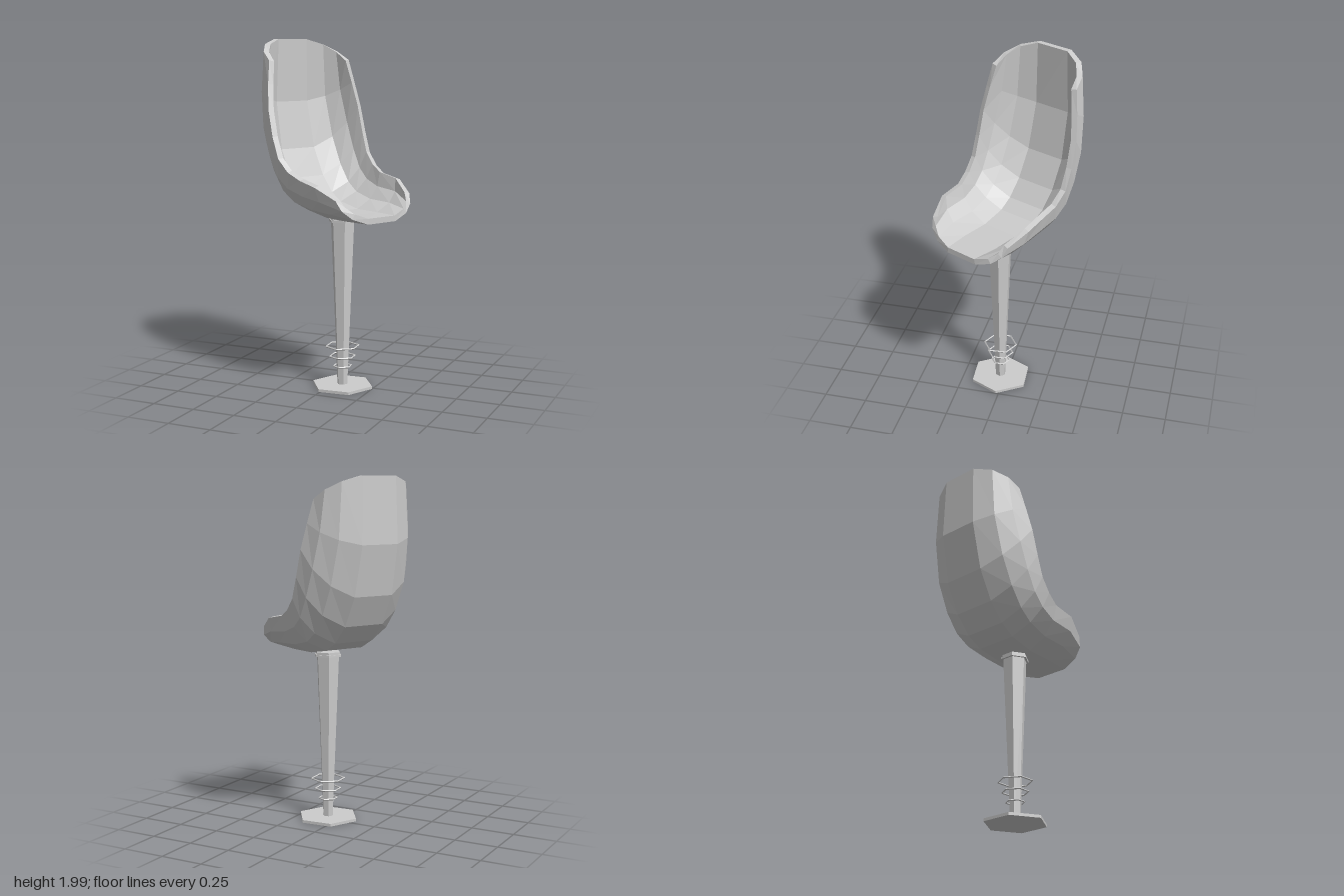
import * as THREE from 'three';

const material = new THREE.MeshStandardMaterial({ color: 0xcccccc, flatShading: true });

// Stations from front lip to top of back: spine z, spine y, rim half width, rim z, rim y
const STATIONS = [
  [0.335, 0.987, 0.272, 0.26, 1.13],
  [0.17, 0.982, 0.316, 0.135, 1.195],
  [0.0, 0.982, 0.312, 0.003, 1.22],
  [-0.165, 1.01, 0.33, -0.08, 1.26],
  [-0.26, 1.06, 0.341, -0.15, 1.33],
  [-0.355, 1.16, 0.345, -0.195, 1.45],
  [-0.445, 1.33, 0.342, -0.235, 1.6],
  [-0.505, 1.62, 0.32, -0.265, 1.74],
  [-0.495, 2.0, 0.294, -0.288, 1.87],
];
const ANGLES = [-90, -68, -45, -20, 20, 45, 68, 90].map(THREE.MathUtils.degToRad);
const THICKNESS = 0.032;

// Bucket shell: a rounded U section lofted along the spine, thickened inwards
function shellGeometry() {
  const cols = ANGLES.length, rows = STATIONS.length, count = cols * rows;
  const outer = [], index = [];
  for (const [sz, sy, w, rz, ry] of STATIONS) {
    for (const a of ANGLES) {
      const k = 1 - Math.cos(a);
      const x = w * Math.sign(a) * Math.pow(Math.abs(Math.sin(a)), 0.93);
      outer.push(x, sy + (ry - sy) * k, sz + (rz - sz) * k);
    }
  }
  const quad = (a, b, c, d) => index.push(a, b, c, a, c, d);
  for (let r = 0; r < rows - 1; r++) {
    for (let c = 0; c < cols - 1; c++) {
      const a = r * cols + c;
      quad(a, a + cols, a + cols + 1, a + 1);
    }
  }
  // Make the outside face outwards: the pan must look down
  const skin = new THREE.BufferGeometry();
  skin.setAttribute('position', new THREE.Float32BufferAttribute(outer, 3));
  skin.setIndex(index);
  skin.computeVertexNormals();
  const n = skin.attributes.normal;
  const pan = 2 * cols + 3;
  const sign = n.getY(pan) < 0 ? 1 : -1;

  // Inner skin
  const all = outer.slice();
  for (let i = 0; i < count; i++) {
    all.push(
      outer[3 * i] - sign * n.getX(i) * THICKNESS,
      outer[3 * i + 1] - sign * n.getY(i) * THICKNESS,
      outer[3 * i + 2] - sign * n.getZ(i) * THICKNESS);
  }
  const skinLength = index.length;
  for (let i = 0; i < skinLength; i += 3) {
    index.push(index[i] + count, index[i + 2] + count, index[i + 1] + count);
  }
  // Rim joining both skins
  const loop = [];
  for (let r = 0; r < rows - 1; r++) loop.push(r * cols);
  for (let c = 0; c < cols - 1; c++) loop.push((rows - 1) * cols + c);
  for (let r = rows - 1; r > 0; r--) loop.push(r * cols + cols - 1);
  for (let c = cols - 1; c > 0; c--) loop.push(c);
  loop.forEach((a, i) => {
    const b = loop[(i + 1) % loop.length];
    quad(b, a, a + count, b + count);
  });
  if (sign < 0) {
    for (let i = 0; i < index.length; i += 3) {
      [index[i + 1], index[i + 2]] = [index[i + 2], index[i + 1]];
    }
  }
  const geometry = new THREE.BufferGeometry();
  geometry.setAttribute('position', new THREE.Float32BufferAttribute(all, 3));
  geometry.setIndex(index);
  geometry.computeVertexNormals();
  return geometry;
}

export function createModel() {
  const model = new THREE.Group();
  model.name = 'barStool';

  // The whole stool is turned about its pole
  const stool = new THREE.Group();
  stool.name = 'stool';
  stool.position.set(0.07, 0, 0.03);
  stool.rotation.y = THREE.MathUtils.degToRad(64);
  model.add(stool);

  const add = (name, geometry, y = 0) => {
    const mesh = new THREE.Mesh(geometry, material);
    mesh.name = name;
    mesh.position.y = y;
    stool.add(mesh);
    return mesh;
  };
  // Six-sided column between two heights
  const hex = (name, rTop, rBottom, y0, y1) =>
    add(name, new THREE.CylinderGeometry(rTop, rBottom, y1 - y0, 6).rotateY(Math.PI / 6), (y0 + y1) / 2);

  add('bucketSeat', shellGeometry());
  hex('base', 0.18, 0.18, 0, 0.016);
  hex('pole', 0.07, 0.03, 0.01, 0.97);
  hex('collar', 0.083, 0.083, 0.966, 0.978);
  hex('collarTop', 0.076, 0.076, 0.978, 0.992);

  // Thin six-sided wire rings, widening upwards
  [[0.056, 0.122], [0.078, 0.18], [0.1, 0.24]].forEach(([radius, y], i) => {
    const ring = new THREE.TorusGeometry(radius - 0.004, 0.005, 4, 6);
    add('footRing' + (i + 1), ring.rotateX(Math.PI / 2).rotateY(Math.PI / 6), y);
  });
  return model;
}
